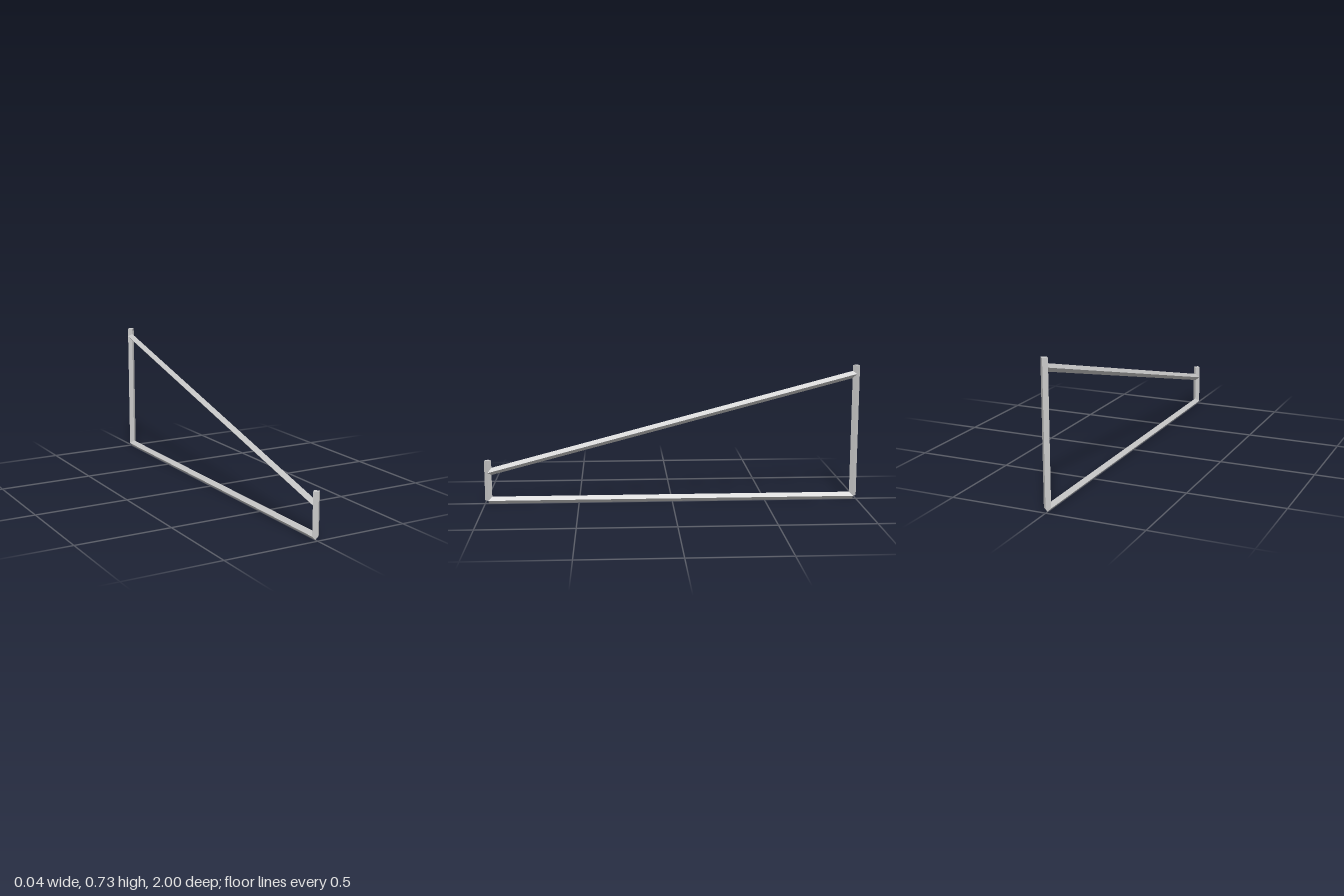
import * as THREE from 'three';

const R = 0.019;        // half diagonal of the square bar
const END = 1 - R;      // z of the post centre lines

export function createModel() {
  const group = new THREE.Group();
  const material = new THREE.MeshStandardMaterial({ color: 0xcccccc, flatShading: true });
  const up = new THREE.Vector3(0, 1, 0);

  // Square bar set on edge, running between two points in the x = 0 plane
  function bar(name, y0, z0, y1, z1) {
    const a = new THREE.Vector3(0, y0, z0);
    const b = new THREE.Vector3(0, y1, z1);
    const dir = b.clone().sub(a);
    const mesh = new THREE.Mesh(new THREE.CylinderGeometry(R, R, dir.length(), 4), material);
    mesh.name = name;
    mesh.position.copy(a).add(b).multiplyScalar(0.5);
    mesh.quaternion.setFromUnitVectors(up, dir.normalize());
    group.add(mesh);
  }

  bar('frontPost', R, END, 0.236, END);
  bar('backPost', R, -END, 0.731, -END);
  bar('bottomRail', R, -END, R, END);
  bar('slopedRail', 0.171, END, 0.685, -END);

  return group;
}
